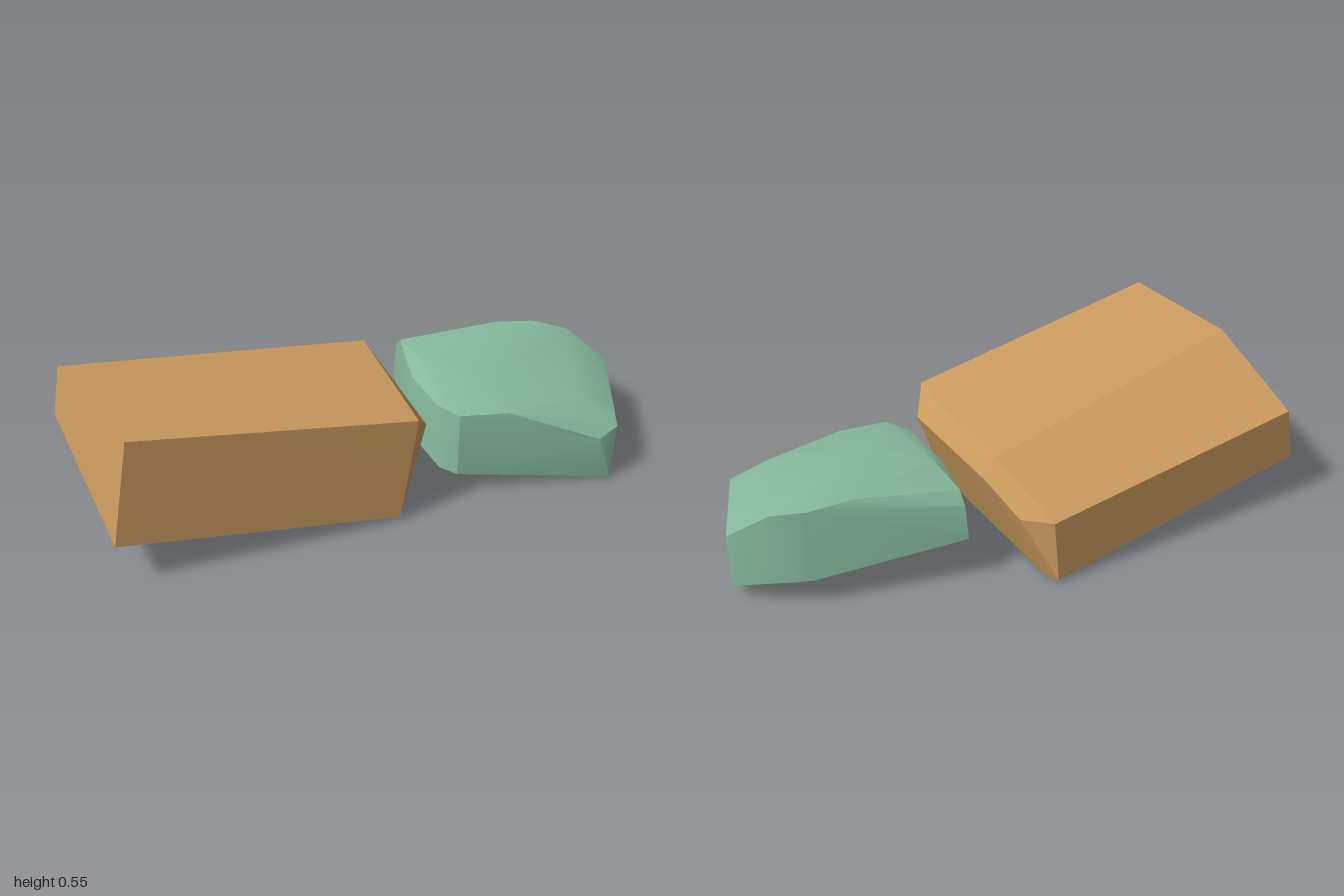
import * as THREE from 'three';
import { ConvexGeometry } from 'three/addons/geometries/ConvexGeometry.js';
import { toCreasedNormals } from 'three/addons/utils/BufferGeometryUtils.js';

// A faceted stone: the convex hull of its corners, softened across shallow edges
function stone(name, corners, material, crease) {
  const hull = new ConvexGeometry(corners.map((c) => new THREE.Vector3(...c)));
  const mesh = new THREE.Mesh(toCreasedNormals(hull, crease), material);
  mesh.name = name;
  return mesh;
}

export function createModel() {
  const sandstone = new THREE.MeshStandardMaterial({ color: 0xcc9c60 });
  sandstone.name = 'sandstone';
  const greenStone = new THREE.MeshStandardMaterial({ color: 0x86b99c });
  greenStone.name = 'green stone';

  const group = new THREE.Group();
  group.name = 'stones';

  // Long tilted slab
  group.add(stone('largeStone', [
    // left end
    [-0.85, 0.54, 0.47], [-0.9, 0.545, -0.03], [-0.97, 0.36, -0.37],
    [-1, 0.17, -0.37], [-0.91, 0.165, 0.475],
    // right end, upper edge
    [0.12, 0.38, 0.365], [0.11, 0.375, -0.22], [0.02, 0.24, -0.478],
    // right end, below the bevel
    [0.18, 0.3, 0.27], [0.145, 0.295, -0.22], [0.1, 0.225, -0.385],
    // right end, foot
    [0.06, 0.015, 0.375], [0.065, 0, 0.3], [0.02, 0, -0.42], [0, 0.01, -0.478],
  ], sandstone, 0.35));

  // Small rounded stone
  group.add(stone('smallStone', [
    // sloping underside
    [0.85, 0.005, 0.34], [1, 0.055, -0.09], [0.83, 0.092, -0.21],
    [0.77, 0.1, -0.24], [0.26, 0.164, -0.33], [0.2, 0.12, 0],
    [0.25, 0.082, 0.22], [0.3, 0.075, 0.27],
    // front and right flanks
    [0.79, 0.18, 0.352], [0.87, 0.2, 0.32], [0.89, 0.235, 0.24],
    [1, 0.237, -0.07],
    // shoulder of the top
    [0.3, 0.31, 0.27], [0.47, 0.305, 0.29], [0.75, 0.29, 0.24],
    [0.82, 0.29, 0.17], [0.25, 0.31, 0.18], [0.23, 0.31, -0.03],
    // crown
    [0.28, 0.346, -0.1], [0.265, 0.325, -0.275], [0.265, 0.285, -0.315],
    [0.62, 0.366, -0.235], [0.77, 0.354, -0.225], [0.88, 0.335, -0.165],
    [0.45, 0.345, 0.1],
  ], greenStone, 0.5));

  return group;
}
